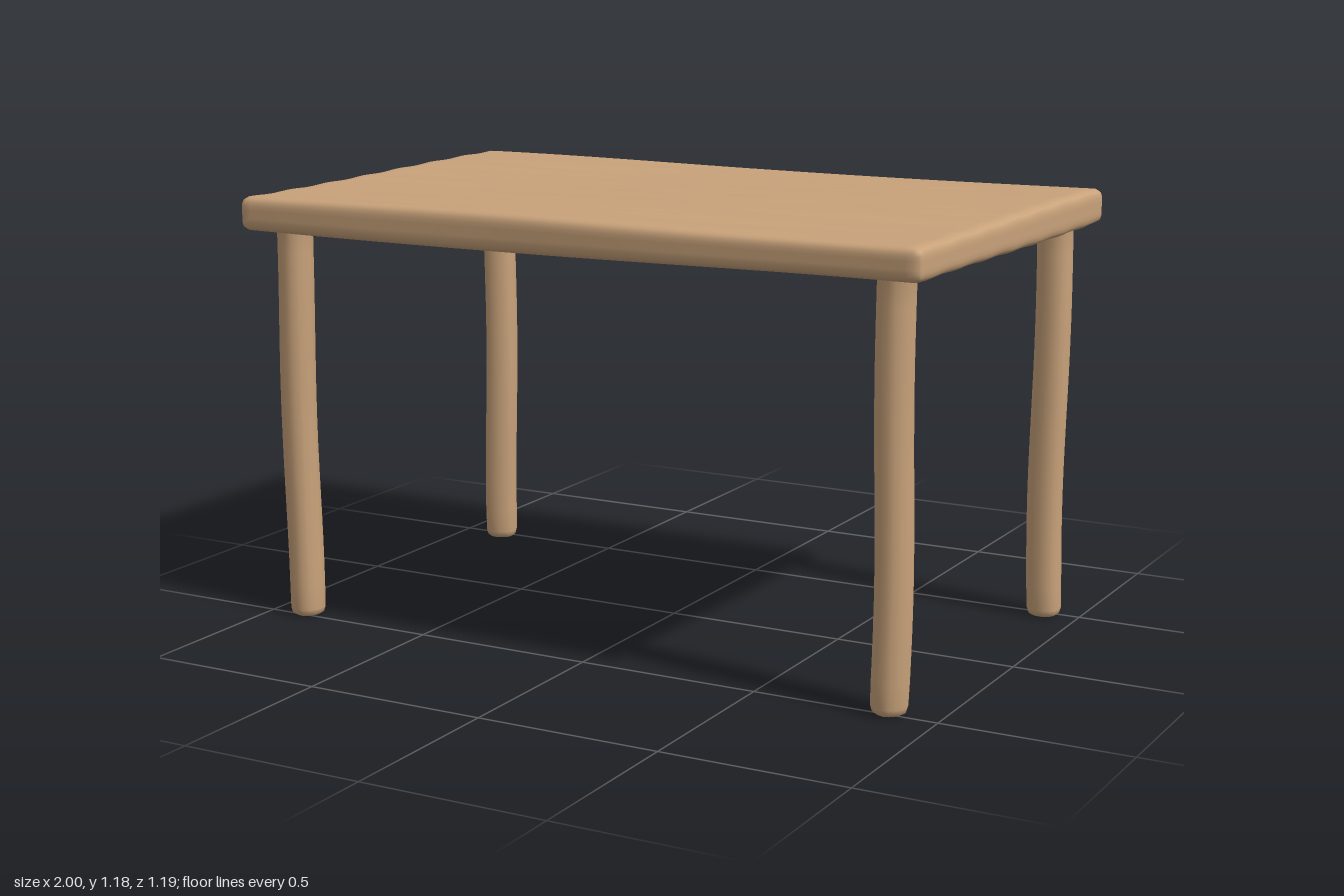
import * as THREE from 'three';
import { mergeVertices } from 'three/addons/utils/BufferGeometryUtils.js';

const wood = new THREE.MeshStandardMaterial({ color: 0xc8a27a });
wood.name = 'warm wood';

// The whole table leans slightly in plan: the back sits further to +x.
const skew = (z) => -0.025 * z;

// Move every vertex by a rule, then weld and smooth.
function reshape(geometry, rule) {
  geometry.deleteAttribute('uv');
  geometry.deleteAttribute('normal');
  const p = geometry.attributes.position;
  const v = new THREE.Vector3();
  for (let i = 0; i < p.count; i++) {
    rule(v.fromBufferAttribute(p, i));
    p.setXYZ(i, v.x, v.y, v.z);
  }
  const welded = mergeVertices(geometry, 1e-5);
  welded.computeVertexNormals();
  return welded;
}

// Grain grooves: start x, end x, z, bend
const grooves = [
  [-0.5, 0.05, -0.43, 0.012], [0.4, 0.85, -0.40, 0.02], [-0.65, 0.55, -0.31, -0.012],
  [-0.9, 0.9, -0.10, 0.012], [-0.1, 0.2, -0.02, 0.005], [0.65, 0.95, -0.05, 0.005],
  [-0.95, -0.3, 0.10, 0.01], [0.3, 0.95, 0.06, -0.02], [-0.5, 0.75, 0.35, 0.018],
  [-0.75, 0.6, 0.44, -0.014],
];

function grain(x, z) {
  let y = 0.0012 * Math.sin(z * 38 + Math.sin(x * 2.3) * 1.2);
  for (const [x0, x1, gz, bend] of grooves) {
    const t = (x - x0) / (x1 - x0);
    if (t <= 0 || t >= 1) continue;
    const d = (z - gz - bend * Math.sin(t * 7)) / 0.013;
    y -= 0.005 * Math.sin(Math.PI * t) * Math.exp(-d * d);
  }
  return y;
}

function tabletop() {
  const half = new THREE.Vector3(0.984, 0.046, 0.594);
  const r = 0.024;
  const inner = half.clone().subScalar(r);
  const core = new THREE.Vector3();
  const box = new THREE.BoxGeometry(half.x * 2, half.y * 2, half.z * 2, 100, 8, 120);
  const geometry = reshape(box, (v) => {
    // Round the rim
    core.copy(v).clamp(inner.clone().negate(), inner);
    v.sub(core).setLength(r).add(core);
    // Carve the grain on both faces and make the slab a little uneven
    const { x, z } = v;
    const side = v.y / half.y;
    v.y += side * grain(x, z) + 0.003 * Math.sin(x * 3 + z * 4) * side;
    v.y += 0.003 * x - 0.004 * z;
    v.z += 0.003 * Math.sin(x * 6) * (z / half.z);
    v.x += skew(z);
  });
  const mesh = new THREE.Mesh(geometry, wood);
  mesh.name = 'tabletop';
  mesh.position.y = 1.132;
  return mesh;
}

// Hand-hewn round leg with a bevelled foot
function leg(name, x, z, phase) {
  const profile = [[0, 0.004], [0.034, 0.004], [0.043, 0.01], [0.047, 0.024]];
  for (let i = 1; i <= 16; i++) profile.push([0.048, 0.024 + i * 0.066]);
  profile.push([0.056, 1.1]);
  const lathe = new THREE.LatheGeometry(profile.map(([a, b]) => new THREE.Vector2(a, b)), 16);
  const geometry = reshape(lathe, (v) => {
    const a = Math.atan2(v.z, v.x);
    const swell = 1 + 0.035 * Math.sin(v.y * 7 + phase + a) + 0.03 * Math.cos(a * 4 + phase);
    v.x = v.x * swell + 0.004 * Math.sin(v.y * 5 + phase);
    v.z = v.z * swell + 0.004 * Math.cos(v.y * 4 + phase);
  });
  const mesh = new THREE.Mesh(geometry, wood);
  mesh.name = name;
  mesh.position.set(x + skew(z), 0, z);
  return mesh;
}

export function createModel() {
  const table = new THREE.Group();
  table.name = 'table';
  table.add(
    tabletop(),
    leg('frontLeftLeg', 0.876, 0.481, 0),
    leg('frontRightLeg', -0.889, 0.481, 1.7),
    leg('backLeftLeg', 0.889, -0.482, 3.1),
    leg('backRightLeg', -0.876, -0.482, 4.6),
  );
  return table;
}
